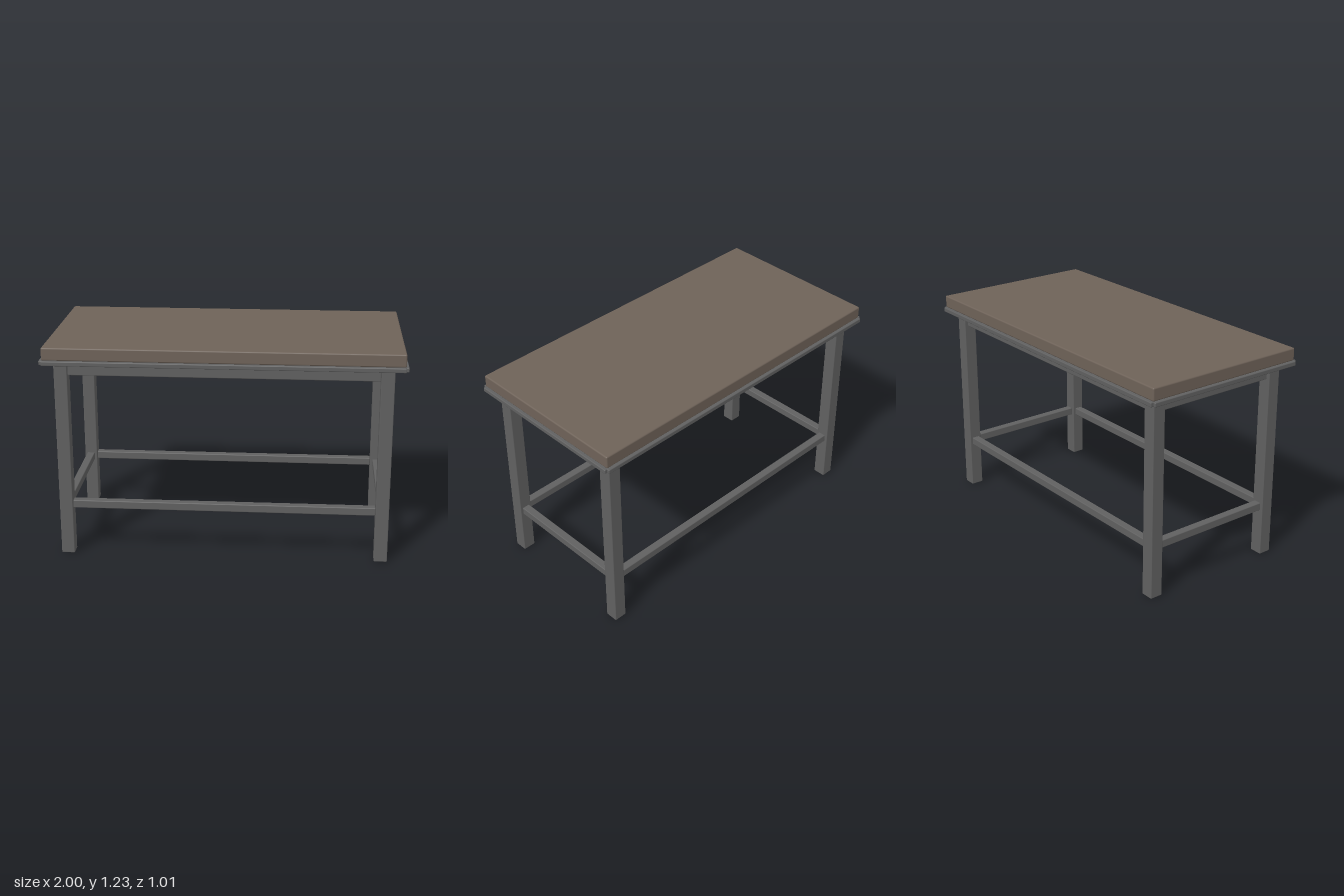
import * as THREE from 'three';
import { RoundedBoxGeometry } from 'three/addons/geometries/RoundedBoxGeometry.js';

const metal = new THREE.MeshStandardMaterial({ color: 0x606060 });
const wood = new THREE.MeshStandardMaterial({ color: 0x6e6258 });

export function createModel() {
  const model = new THREE.Group();
  model.name = 'workbench';

  // Softly bevelled bar, given by its size and centre
  function bar(name, [w, h, d], [x, y, z], material = metal, bevel = 0.005) {
    const mesh = new THREE.Mesh(new RoundedBoxGeometry(w, h, d, 2, bevel), material);
    mesh.name = name;
    mesh.position.set(x, y, z);
    model.add(mesh);
  }

  // Table top
  bar('tableTop', [1.97, 0.072, 0.98], [0, 1.196, 0], wood, 0.008);

  const legX = 0.893, legZ = 0.402, legSize = 0.075;
  const spanX = 2 * legX - legSize, spanZ = 2 * legZ - legSize;

  for (const s of [-1, 1]) {
    const side = s > 0 ? 'left' : 'right';
    const face = s > 0 ? 'front' : 'back';

    // Thin edge frame carrying the top
    bar(face + 'EdgeRail', [1.97, 0.026, 0.03], [0, 1.147, s * 0.49]);
    bar(side + 'EdgeRail', [0.03, 0.026, 0.98], [s * 0.985, 1.147, 0]);

    // Aprons between the legs, below the top
    bar(face + 'Apron', [spanX, 0.1, 0.04], [0, 1.11, s * legZ]);
    bar(side + 'Apron', [0.04, 0.1, spanZ], [s * legX, 1.11, 0]);

    // Low stretchers between the legs
    bar(face + 'Stretcher', [spanX, 0.046, 0.046], [0, 0.298, s * legZ]);
    bar(side + 'Stretcher', [0.046, 0.046, spanZ], [s * legX, 0.298, 0]);

    // Legs
    for (const t of [-1, 1]) {
      bar(side + (t > 0 ? 'Front' : 'Back') + 'Leg',
        [legSize, 1.16, legSize], [s * legX, 0.58, t * legZ]);
    }
  }
  return model;
}
